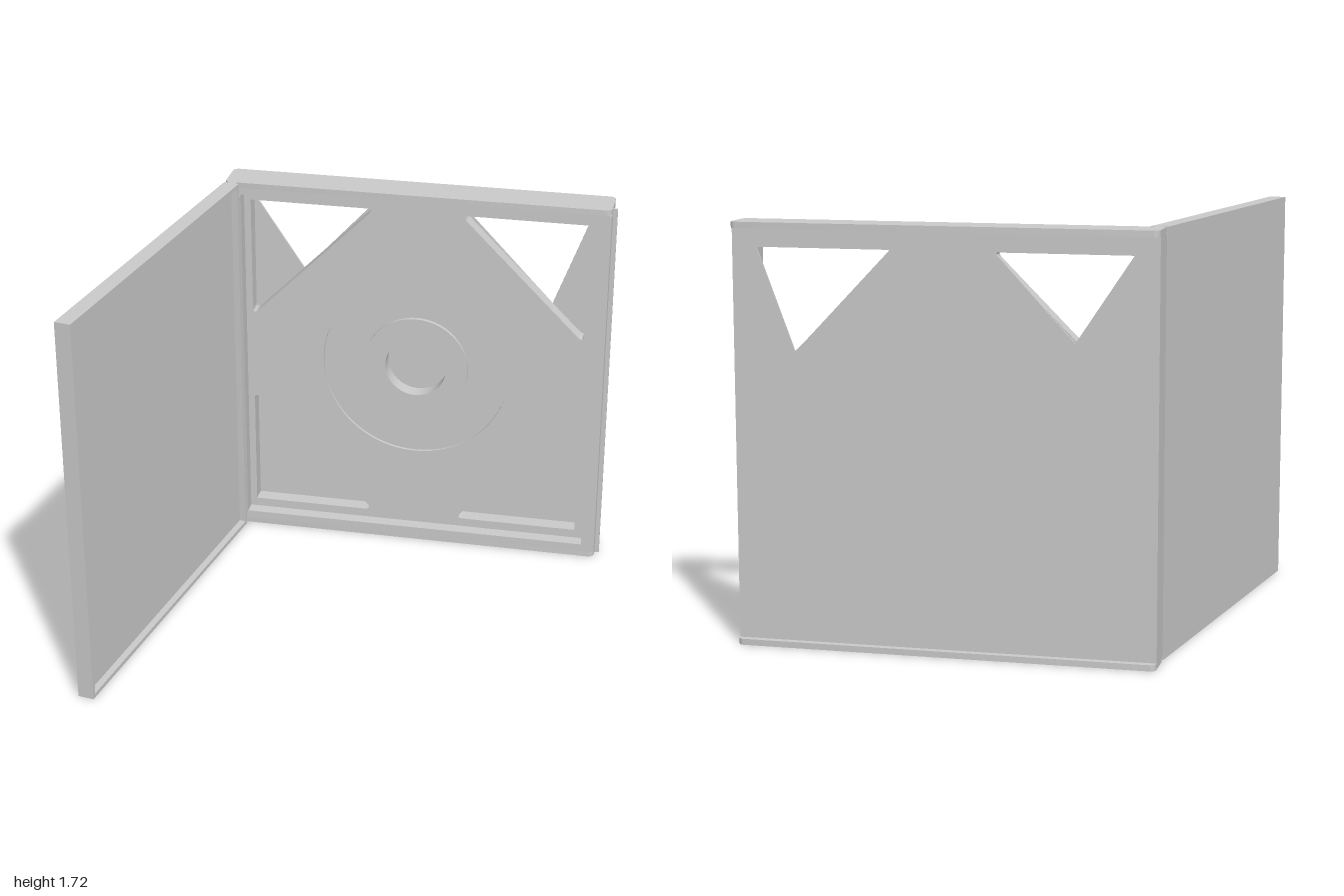
import * as THREE from 'three';
import { toCreasedNormals } from 'three/addons/utils/BufferGeometryUtils.js';

const material = new THREE.MeshStandardMaterial({ color: 0xcccccc });
const CX = 0.12, CY = 0.86, H = 1.72; // tray centre and case height
const X0 = -0.74, X1 = 0.98;          // tray sides

function add(parent, name, geometry) {
  const mesh = new THREE.Mesh(geometry, material);
  mesh.name = name;
  parent.add(mesh);
  return mesh;
}

// Box given by its two opposite corners
function box(parent, name, [xa, ya, za], [xb, yb, zb]) {
  const mesh = add(parent, name, new THREE.BoxGeometry(xb - xa, yb - ya, zb - za));
  mesh.position.set((xa + xb) / 2, (ya + yb) / 2, (za + zb) / 2);
  return mesh;
}

// Plate with holes between two depths
function plate(parent, name, shape, holes, z0, z1) {
  shape.holes.push(...holes);
  const geometry = new THREE.ExtrudeGeometry(shape, { depth: z1 - z0, bevelEnabled: false, curveSegments: 32 });
  geometry.translate(0, 0, z0);
  return add(parent, name, toCreasedNormals(geometry, 0.5));
}

function polygon(points) {
  return new THREE.Shape(points.map(([x, y]) => new THREE.Vector2(x, y)));
}

function rect(x0, y0, x1, y1) {
  return polygon([[x0, y0], [x1, y0], [x1, y1], [x0, y1]]);
}

function circle(r) {
  return new THREE.Shape().absarc(CX, 0.865, r, 0, Math.PI * 2, false);
}

function roundedRect(x0, y0, x1, y1, r) {
  const s = new THREE.Shape();
  s.absarc(x1 - r, y0 + r, r, -Math.PI / 2, 0);
  s.absarc(x1 - r, y1 - r, r, 0, Math.PI / 2);
  s.absarc(x0 + r, y1 - r, r, Math.PI / 2, Math.PI);
  s.absarc(x0 + r, y0 + r, r, Math.PI, Math.PI * 1.5);
  s.closePath();
  return s;
}

// Corner pocket: right triangle with softened tips
function pocket(sx, sy) {
  const x = (d) => CX + sx * (0.76 - d);
  const y = (d) => CY + sy * (0.76 - d);
  const s = new THREE.Shape();
  s.moveTo(x(0), y(0));
  s.lineTo(x(0.525), y(0));
  s.quadraticCurveTo(x(0.565), y(0), x(0.535), y(0.03));
  s.lineTo(x(0.03), y(0.535));
  s.quadraticCurveTo(x(0), y(0.565), x(0), y(0.525));
  s.closePath();
  return s;
}

function makeTray() {
  const tray = new THREE.Group();
  tray.name = 'tray';

  // Raised border around the tray
  plate(tray, 'trayFrame', rect(X0, 0.025, X1, H - 0.025),
    [rect(-0.67, 0.06, 0.92, 1.665)], -0.86, -0.72);

  // Thin back with two openings behind the upper pockets
  plate(tray, 'backPanel', rect(-0.67, 0.06, 0.92, 1.665), [
    polygon([[-0.64, 1.62], [-0.41, 1.275], [-0.09, 1.62]]),
    polygon([[0.33, 1.62], [0.725, 1.205], [0.88, 1.62]]),
  ], -0.86, -0.85);

  // Tray floor with four corner pockets and the disc well
  const pockets = [];
  for (const sx of [-1, 1]) for (const sy of [-1, 1]) pockets.push(pocket(sx, sy));
  plate(tray, 'trayFloor', rect(-0.67, 0.06, 0.92, 1.665), [...pockets, circle(0.43)], -0.85, -0.78);
  plate(tray, 'discWell', circle(0.43), [circle(0.24)], -0.85, -0.793);
  plate(tray, 'hub', circle(0.24), [circle(0.14)], -0.85, -0.775);

  // Rounded rails closing the top and bottom, standing proud of the back
  for (const [name, y] of [['bottomRail', 0], ['topRail', H - 0.025]]) {
    const rail = plate(tray, name, roundedRect(X0, 0.72, X1, 0.89, 0.025), [], 0, 0.025);
    rail.rotation.x = -Math.PI / 2;
    rail.position.y = y;
  }

  // Thin lip along the opening side
  box(tray, 'sideLip', [X1, 0, -0.78], [1, 1.71, -0.77]);
  return tray;
}

function makeCover() {
  const cover = new THREE.Group();
  cover.name = 'cover';
  const L = 1.63, T = -0.07, D = -0.03, W = 0.018, N = 0.016;

  // Panel and the raised rims around its inner face
  box(cover, 'coverPanel', [T, 0, N], [D, H, L]);
  box(cover, 'coverBottomRim', [D, 0, N], [0, W, L]);
  box(cover, 'coverTopRim', [D, H - W, N], [0, H, L]);
  box(cover, 'coverOuterRim', [D, W, L - W], [0, H - W, L]);
  box(cover, 'coverHingeRim', [D, W, N], [0, H - W, N + W]);

  // Hinge edge, notched at both ends around narrow ears
  box(cover, 'hingeEdge', [T, 0.06, 0], [0, H - 0.06, N]);
  for (const y of [0, H - 0.05]) box(cover, 'hingeEar', [-0.055, y, 0], [-0.015, y + 0.05, N]);

  cover.position.set(-0.67, 0, -0.72);
  cover.rotation.y = -0.161;
  return cover;
}

export function createModel() {
  const model = new THREE.Group();
  model.name = 'discCase';
  model.add(makeTray(), makeCover());
  return model;
}
